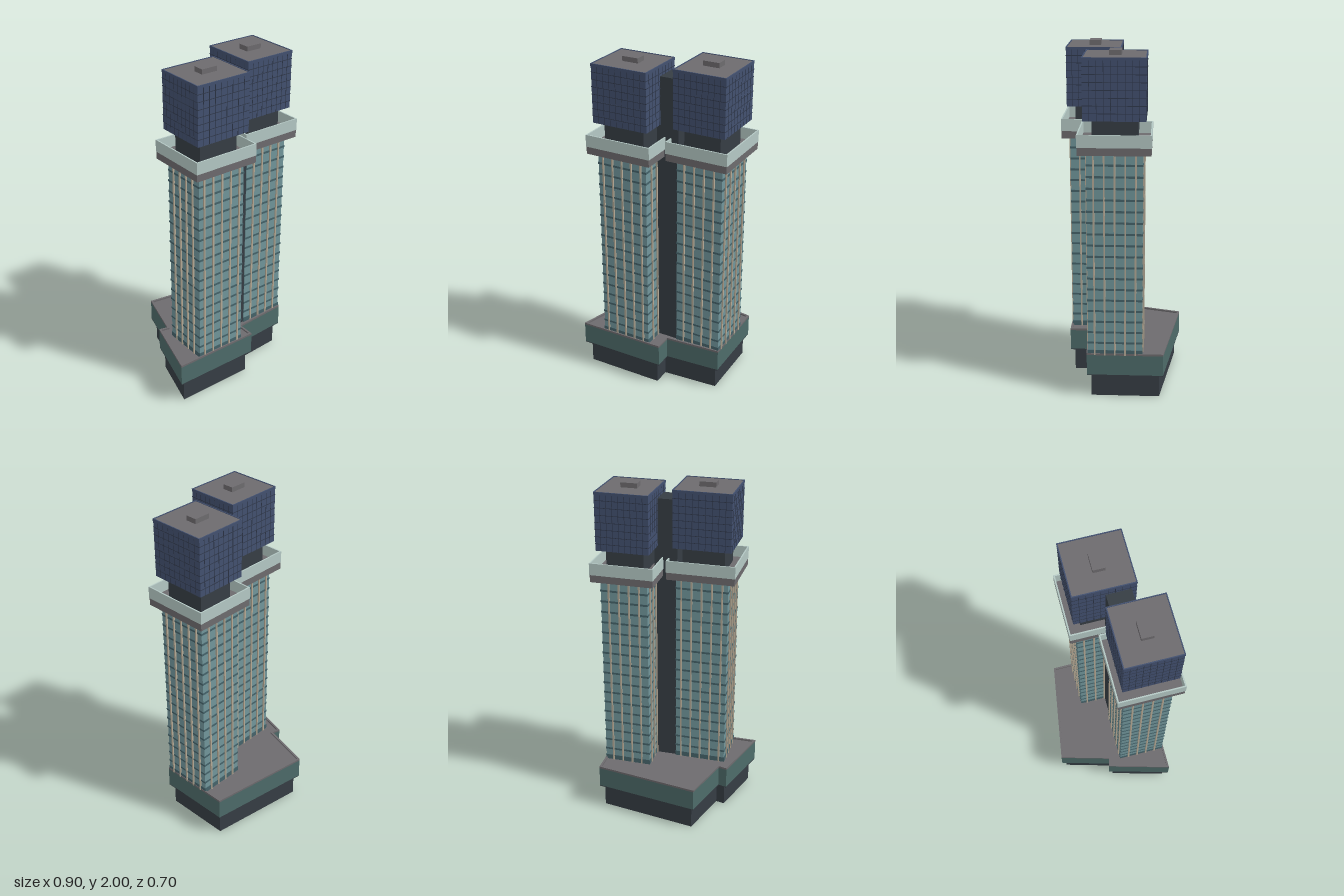
import * as THREE from 'three';
import { mergeGeometries } from 'three/addons/utils/BufferGeometryUtils.js';

const mat = (name, color) => Object.assign(new THREE.MeshStandardMaterial({ color }), { name });

export function createModel() {
  const model = new THREE.Group();
  model.name = 'twinTowers';
  const M = {
    dark: mat('charcoal', 0x363d44),
    green: mat('podiumGreen', 0x4d6b69),
    grey: mat('roofGrey', 0x6d6b6e),
    glass: mat('tealGlass', 0x71969b),
    band: mat('spandrelTeal', 0x45636a),
    fin: mat('concreteBeige', 0xb5aa96),
    mint: mat('paleMint', 0xb4c8c4),
    navy: mat('navyGlass', 0x42506f),
    line: mat('gridLine', 0x2f384b),
  };

  const boxGeo = (x0, x1, y0, y1, z0, z1) =>
    new THREE.BoxGeometry(x1 - x0, y1 - y0, z1 - z0).translate((x0 + x1) / 2, (y0 + y1) / 2, (z0 + z1) / 2);
  const add = (parent, name, geo, material) => {
    const m = new THREE.Mesh(geo, material);
    m.name = name;
    parent.add(m);
  };

  // Upright prism from an [x, z] outline, with an optional hole outline
  const prism = (pts, y0, y1, hole) => {
    const v = (p) => p.map(([x, z]) => new THREE.Vector2(x, -z));
    const s = new THREE.Shape(v(pts));
    if (hole) s.holes.push(new THREE.Path(v(hole)));
    return new THREE.ExtrudeGeometry(s, { depth: y1 - y0, bevelEnabled: false }).rotateX(-Math.PI / 2).translate(0, y0, 0);
  };
  // Outline moved inwards by d (outline runs counter-clockwise seen from above)
  const inset = (pts, d) => pts.map((p, i) => {
    const a = pts[(i + pts.length - 1) % pts.length], b = pts[(i + 1) % pts.length];
    const n = (s, e) => {
      const l = Math.hypot(e[0] - s[0], e[1] - s[1]);
      return [(e[1] - s[1]) / l, -(e[0] - s[0]) / l];
    };
    const n1 = n(a, p), n2 = n(p, b);
    const k = d / (1 + n1[0] * n2[0] + n1[1] * n2[1]);
    return [p[0] + (n1[0] + n2[0]) * k, p[1] + (n1[1] + n2[1]) * k];
  });
  const rect = (x0, x1, z0, z1) => [[x0, z1], [x1, z1], [x1, z0], [x0, z0]];

  // Podium: hollow plinth, overhanging green storey, grey roof with a low kerb
  const outline = [[-0.45, 0.313], [0.078, 0.313], [0.078, 0.21], [0.41, 0.187],
    [0.41, -0.253], [-0.21, -0.351], [-0.294, -0.052], [-0.345, -0.064]];
  const plinth = inset(outline, 0.025);
  const podium = new THREE.Group();
  podium.name = 'podium';
  model.add(podium);
  add(podium, 'plinthWalls', prism(plinth, 0, 0.142, inset(plinth, 0.006)), M.dark);
  add(podium, 'podiumSoffit', prism(outline, 0.14, 0.145), M.dark);
  add(podium, 'podiumStorey', prism(outline, 0.145, 0.268), M.green);
  add(podium, 'podiumRoof', prism(inset(outline, 0.01), 0.268, 0.27), M.grey);
  add(podium, 'podiumKerb', prism(outline, 0.268, 0.28, inset(outline, 0.012)), M.grey);

  // Dark lift shaft joining the towers
  add(model, 'linkShaft', boxGeo(0, 0.13, 0.27, 1.5, 0.029, 0.174), M.dark);
  add(model, 'linkShaftTop', boxGeo(-0.005, 0.13, 1.5, 1.913, 0.031, 0.167), M.dark);

  // Thin vertical strips on all four sides of a rectangle
  const verticals = (x0, x1, z0, z1, y0, y1, xs, zs, w, t) => {
    const g = [];
    for (const x of xs) {
      g.push(boxGeo(x - w, x + w, y0, y1, z1 - 0.002, z1 + t), boxGeo(x - w, x + w, y0, y1, z0 - t, z0 + 0.002));
    }
    for (const z of zs) {
      g.push(boxGeo(x1 - 0.002, x1 + t, y0, y1, z - w, z + w), boxGeo(x0 - t, x0 + 0.002, y0, y1, z - w, z + w));
    }
    return g;
  };
  const spread = (c, n, step) => Array.from({ length: n }, (_, i) => c + (i - (n - 1) / 2) * step);

  // One tower, given its roof block rectangle and fins per side
  const tower = (name, x0, x1, z0, z1, nx, nz, hatX, hatZ) => {
    const t = new THREE.Group();
    t.name = name;
    model.add(t);
    const cx = (x0 + x1) / 2, cz = (z0 + z1) / 2;
    const grown = (d) => [x0 - d, x1 + d, z0 - d, z1 + d];
    const slab = (d, y0, y1) => {
      const [a, b, c, e] = grown(d);
      return boxGeo(a, b, y0, y1, c, e);
    };

    // Concrete core showing under the podium
    add(t, 'core', boxGeo(cx - 0.065, cx + 0.065, 0.001, 0.14, cz - 0.065, cz + 0.065), M.fin);

    // Glass shaft with spandrel bands and fins
    add(t, 'glassShaft', slab(0.008 - 0.026, 0.27, 1.457), M.glass);
    const bands = [slab(-0.015, 0.27, 0.3)];
    for (let i = 1; i < 18; i++) {
      const y = 0.28 + i * 0.0655;
      bands.push(slab(-0.0155, y - 0.006, y + 0.006));
    }
    add(t, 'spandrelBands', mergeGeometries(bands), M.band);
    const [fx0, fx1, fz0, fz1] = grown(-0.018);
    add(t, 'fins', mergeGeometries(verticals(fx0, fx1, fz0, fz1, 0.27, 1.46,
      spread(cx, nx, 0.0605), spread(cz, nz, 0.058), 0.0045, 0.009)), M.fin);

    // Overhanging crown with a thin parapet
    add(t, 'crownSlab', slab(0.028, 1.457, 1.502), M.grey);
    add(t, 'crownParapet', prism(rect(...grown(0.03)), 1.5, 1.57, rect(...grown(0.022))), M.mint);
    add(t, 'neck', slab(-0.047, 1.5, 1.64), M.dark);

    // Navy roof block with its grid of mullions
    add(t, 'roofBlock', slab(-0.002, 1.637, 1.965), M.navy);
    add(t, 'roofRim', prism(rect(x0, x1, z0, z1), 1.96, 1.975, rect(...grown(-0.006))), M.navy);
    add(t, 'roofDeck', slab(-0.006, 1.96, 1.972), M.grey);
    const cols = 9;
    const grid = verticals(x0 + 0.002, x1 - 0.002, z0 + 0.002, z1 - 0.002, 1.638, 1.962,
      spread(cx, cols - 1, (x1 - x0) / cols), spread(cz, cols - 1, (z1 - z0) / cols), 0.0014, 0.0015);
    for (let i = 1; i < 8; i++) {
      const y = 1.637 + i * 0.0415;
      grid.push(slab(-0.0005, y - 0.0018, y + 0.0018));
    }
    add(t, 'roofBlockGrid', mergeGeometries(grid), M.line);
    add(t, 'roofHatch', boxGeo(hatX - 0.0485, hatX + 0.0485, 1.97, 2, hatZ - 0.033, hatZ + 0.033), M.grey);
  };

  tower('rightTower', -0.325, 0.018, 0.005, 0.32, 5, 4, -0.153, 0.161);
  tower('leftTower', 0.108, 0.4225, -0.148, 0.196, 4, 5, 0.263, 0.023);
  return model;
}
